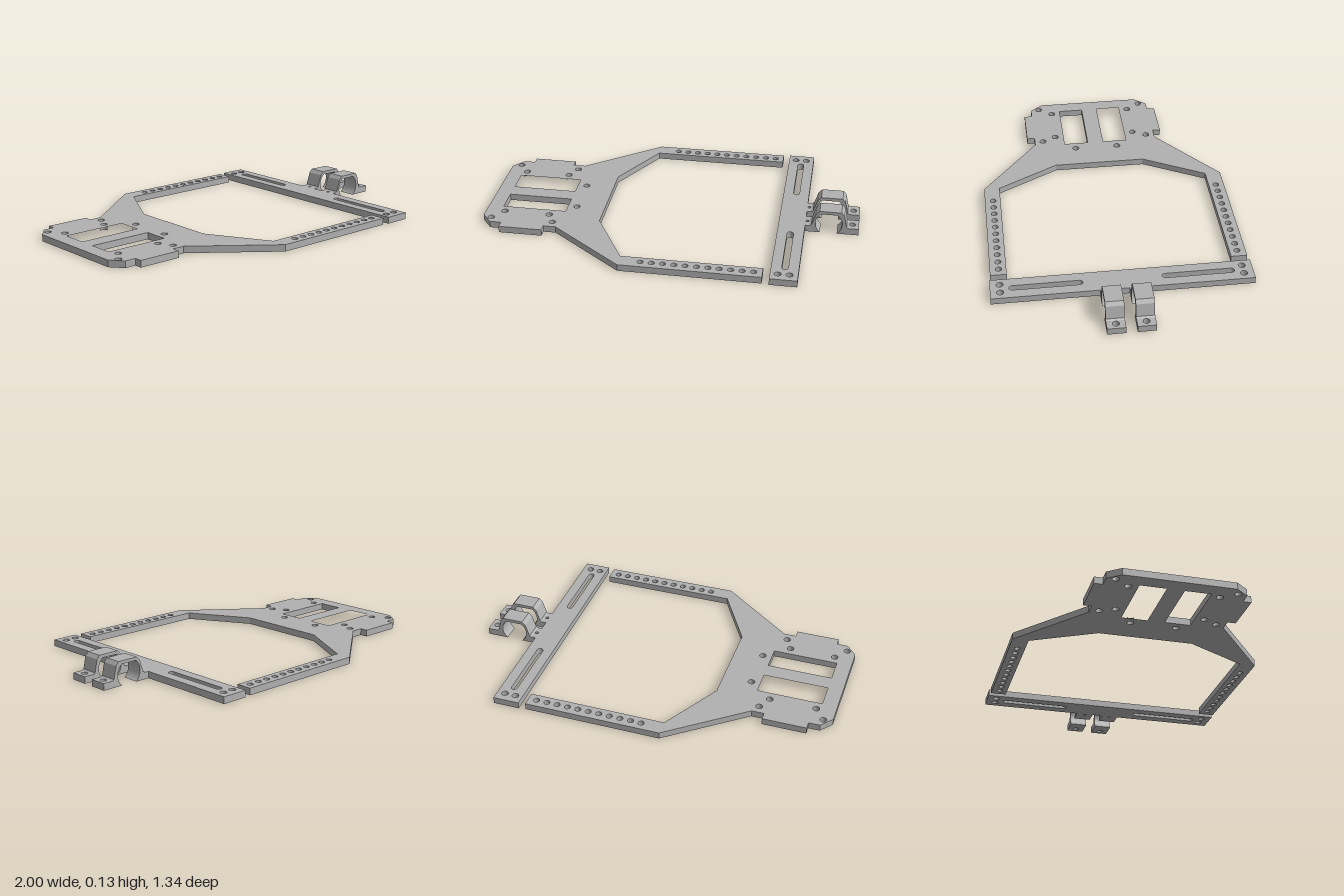
import * as THREE from 'three';

const T = 0.036; // plate thickness

export function createModel() {
  const group = new THREE.Group();
  group.name = 'mountingFrame';
  const grey = new THREE.MeshStandardMaterial({ color: 0xb0b0b0 });
  grey.name = 'plainGrey';

  const add = (geometry, name, parent = group) => {
    const mesh = new THREE.Mesh(geometry, grey);
    mesh.name = name;
    parent.add(mesh);
  };
  const polygon = (pts) => new THREE.Shape(pts.map(([x, y]) => new THREE.Vector2(x, y)));
  const rect = (x0, x1, z0, z1) => polygon([[x0, z0], [x1, z0], [x1, z1], [x0, z1]]);
  const hole = (shape, x, z, r) => shape.holes.push(new THREE.Path().absarc(x, z, r, 0, Math.PI * 2));
  // Shapes are drawn in x and z, then laid flat on y = 0
  const flat = (shape) => new THREE.ExtrudeGeometry(shape, { depth: T, bevelEnabled: false, curveSegments: 10 })
    .rotateX(Math.PI / 2).translate(0, T, 0);

  // Main plate: half outline mirrored across z = 0
  const half = [
    [-1, 0.284], [-0.946, 0.351], [-0.886, 0.351], [-0.886, 0.394], [-0.653, 0.394], [-0.653, 0.351],
    [-0.587, 0.351], [-0.19, 0.665], [0.54, 0.665], [0.54, 0.58], [-0.19, 0.58], [-0.37, 0.25],
  ];
  const plate = polygon([...half, ...half.map(([x, z]) => [x, -z]).reverse()]);
  for (const s of [-1, 1]) {
    plate.holes.push(rect(-0.92, -0.573, s * 0.045, s * 0.18));
    for (const [x, z] of [[-0.952, 0.304], [-0.898, 0.229], [-0.652, 0.229], [-0.615, 0.304], [-0.524, 0.12]])
      hole(plate, x, s * z, 0.018);
    for (let i = 0; i < 11; i++) hole(plate, -0.08 + i * 0.0575, s * 0.62, 0.016);
  }
  add(flat(plate), 'mainPlate');

  // Cross bar with end holes and long slots
  const bar = rect(0.576, 0.717, -0.671, 0.671);
  for (const s of [-1, 1]) {
    hole(bar, 0.615, s * 0.62, 0.018);
    hole(bar, 0.674, s * 0.62, 0.018);
    const mid = s * 0.389, reach = 0.17, r = 0.0165;
    const slot = new THREE.Path();
    slot.absarc(0.6465, mid + reach, r, 0, Math.PI);
    slot.absarc(0.6465, mid - reach, r, Math.PI, Math.PI * 2);
    slot.closePath();
    bar.holes.push(slot);
  }
  add(flat(bar), 'crossBar');

  // Clip arch: faceted outside, round inside with a flat roof and open bottom
  const cx = 0.841, cy = 0.055, r = 0.071, a = Math.asin(cy / r);
  const arch = polygon([
    [0.74, 0], [0.74, T], [0.75, 0.042], [0.772, 0.108], [0.79, 0.127],
    [0.905, 0.127], [0.921, 0.108], [0.936, 0.042], [0.945, T], [0.945, 0],
  ]);
  arch.lineTo(cx + r * Math.cos(a), 0);
  arch.absarc(cx, cy, r, -a, a);
  arch.absarc(cx, cy, r, Math.PI - a, Math.PI + a);
  arch.closePath();

  for (const s of [-1, 1]) {
    const clip = new THREE.Group();
    clip.name = s > 0 ? 'frontClip' : 'backClip';
    group.add(clip);
    const z0 = s * 0.075 - 0.047, z1 = s * 0.075 + 0.047;
    add(new THREE.ExtrudeGeometry(arch, { depth: z1 - z0, bevelEnabled: false, curveSegments: 14 })
      .translate(0, 0, z0), 'clipArch', clip);
    // Screw tabs on both sides of the arch
    const inner = rect(0.717, 0.74, z0, z1);
    hole(inner, 0.7275, s * 0.075, 0.009);
    add(flat(inner), 'innerTab', clip);
    const outer = rect(0.945, 1, z0, z1);
    hole(outer, 0.966, s * 0.075, 0.017);
    add(flat(outer), 'outerTab', clip);
  }
  return group;
}
